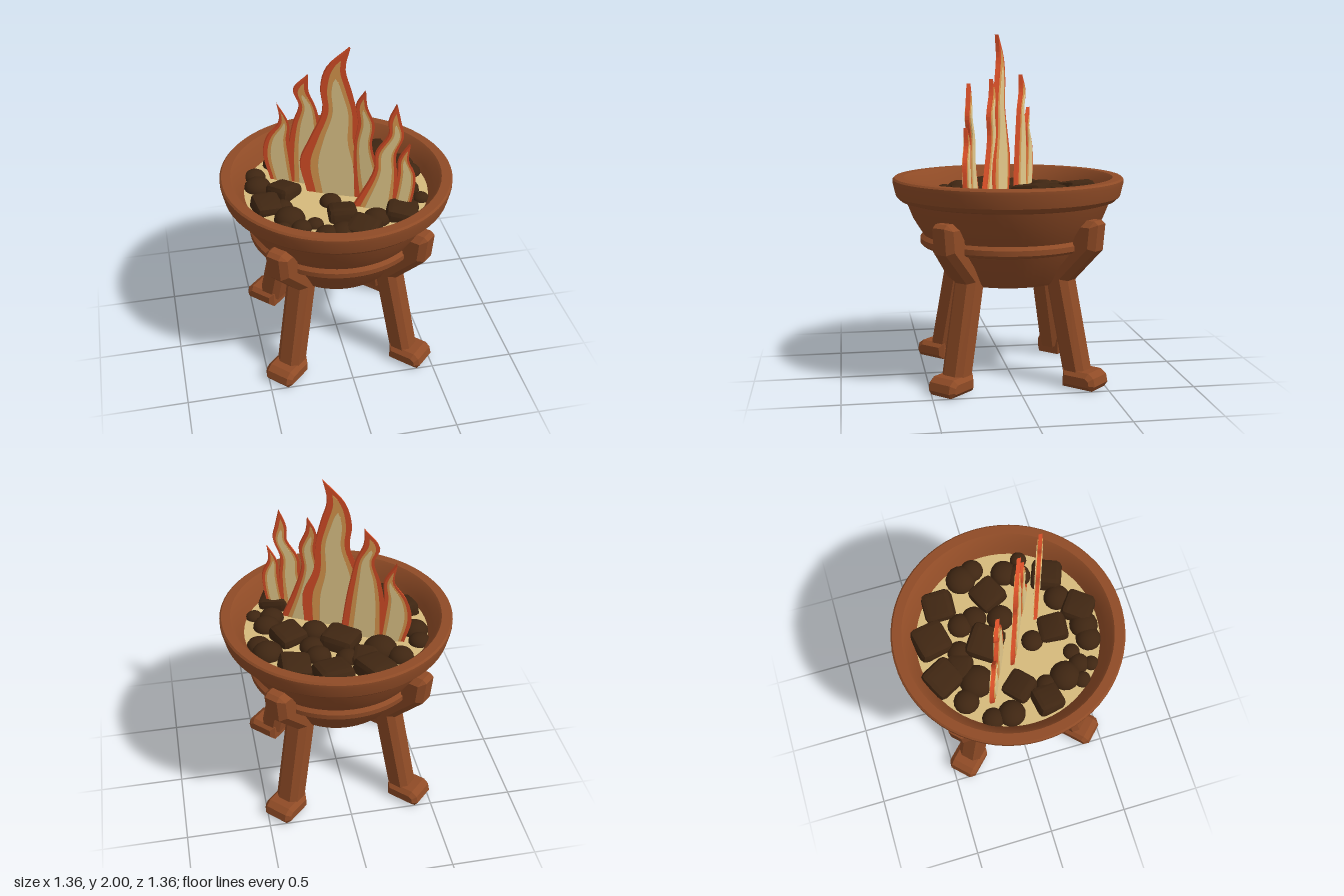
import * as THREE from 'three';
import { toCreasedNormals } from 'three/addons/utils/BufferGeometryUtils.js';
import { RoundedBoxGeometry } from 'three/addons/geometries/RoundedBoxGeometry.js';

const mat = (name, color) => Object.assign(new THREE.MeshStandardMaterial({ color }), { name });
const V = (p) => new THREE.Vector2(p[0], p[1]);

export function createModel() {
  const clay = mat('clay', 0x8f4b26);
  const coal = mat('coal', 0x3f2612);
  const sand = mat('sand', 0xd6ba7c);
  const red = mat('flame red', 0xdb5028);
  const orange = mat('flame orange', 0xe09c50);
  const cream = mat('flame cream', 0xe6cb8c);

  const model = new THREE.Group();
  model.name = 'fireBowl';
  const add = (parent, name, geo, material) => {
    const m = new THREE.Mesh(geo, material);
    m.name = name;
    parent.add(m);
    return m;
  };

  // Bowl: underside, belt, flared wall, thick rim and inner wall
  const profile = [
    [0, 0.58], [0.35, 0.58], [0.37, 0.6], [0.465, 0.77], [0.505, 0.78], [0.52, 0.795],
    [0.52, 0.825], [0.5, 0.845], [0.56, 0.94], [0.6, 1.04], [0.635, 1.05], [0.66, 1.075],
    [0.678, 1.15], [0.678, 1.17], [0.668, 1.18], [0.615, 1.18], [0.6, 1.165], [0.56, 1.1], [0.53, 1.03],
  ].map(V);
  add(model, 'bowl', toCreasedNormals(new THREE.LatheGeometry(profile, 64), 0.5), clay);

  // Sand bed
  const bed = add(model, 'sandBed', new THREE.CircleGeometry(0.55, 64), sand);
  bed.rotation.x = -Math.PI / 2;
  bed.position.y = 1.055;

  // Legs: a side profile with chamfered edges, one on each diagonal
  const slab = (points, width, bevel) => {
    const geo = new THREE.ExtrudeGeometry(new THREE.Shape(points.map(V)), {
      depth: width - 2 * bevel, bevelEnabled: true, bevelThickness: bevel,
      bevelSize: bevel, bevelOffset: -bevel, bevelSegments: 1,
    });
    return geo.translate(0, 0, bevel - width / 2);
  };
  const legGeo = slab([
    [0.43, 0.04], [0.575, 0.04], [0.45, 0.61], [0.63, 0.8], [0.645, 0.95],
    [0.62, 0.97], [0.5, 0.97], [0.46, 0.8], [0.3, 0.62],
  ], 0.15, 0.035);
  const footGeo = slab([
    [0.44, 0], [0.635, 0], [0.655, 0.03], [0.645, 0.075], [0.61, 0.1], [0.44, 0.1],
  ], 0.19, 0.025);
  for (let i = 0; i < 4; i++) {
    const leg = new THREE.Group();
    leg.name = 'leg';
    add(leg, 'legPost', legGeo, clay);
    add(leg, 'foot', footGeo, clay);
    leg.rotation.y = Math.PI / 4 + i * Math.PI / 2;
    model.add(leg);
  }

  // Coals: [x, z, radius], kept inside the bowl wall
  const coals = new THREE.Group();
  coals.name = 'coals';
  model.add(coals);
  const place = (m, x, z, r) => {
    const d = Math.hypot(x, z), k = Math.min(1, (0.56 - 0.85 * r) / d);
    m.position.set(x * k, 1.055, z * k);
  };
  const pebbles = [
    [-0.31, -0.34, 0.075], [-0.21, -0.25, 0.1], [-0.01, -0.3, 0.07], [0.15, -0.25, 0.075],
    [0.17, -0.16, 0.075], [0.43, -0.17, 0.09], [0.47, -0.09, 0.07], [0.13, -0.01, 0.08],
    [0.4, 0.09, 0.08], [0.36, 0.17, 0.075], [-0.06, 0.13, 0.065], [-0.32, 0.25, 0.09],
    [-0.34, 0.13, 0.06], [-0.37, 0.34, 0.05], [-0.27, 0.35, 0.06], [-0.19, 0.33, 0.05],
    [-0.29, 0.42, 0.045], [-0.14, 0.45, 0.075], [-0.05, 0.45, 0.085], [0.16, 0.35, 0.08],
    [-0.45, -0.22, 0.065], [-0.45, -0.11, 0.08], [0.46, 0.2, 0.05],
  ];
  const ball = new THREE.SphereGeometry(1, 16, 10);
  for (const [x, z, r] of pebbles) {
    const m = add(coals, 'roundCoal', ball, coal);
    m.scale.set(r, r * 0.75, r);
    place(m, x, z, r);
  }
  const chunks = [
    [-0.15, -0.47, 0.12], [0.1, -0.45, 0.125], [0.3, -0.34, 0.11], [-0.11, -0.32, 0.09],
    [0, -0.14, 0.125], [-0.31, -0.02, 0.1], [0.29, -0.04, 0.11], [-0.43, 0.11, 0.1],
    [-0.02, 0.27, 0.1], [0.31, 0.33, 0.11], [0.06, 0.45, 0.11],
  ];
  const block = toCreasedNormals(new RoundedBoxGeometry(1.65, 1.2, 1.65, 1, 0.3), 0.4);
  chunks.forEach(([x, z, r], i) => {
    const m = add(coals, 'chunkyCoal', block, coal);
    m.scale.setScalar(r);
    m.rotation.set(0.18 * Math.sin(i * 2.1), 0.5 + i * 1.3, 0.18 * Math.cos(i * 1.7));
    place(m, x, z, r);
  });

  // Flame tongues: centre line [x, y, half width], standing on a slanted sheet z = z0 + slope * x
  const tongues = [
    [-0.035, 0.45, [[-0.29, 1.05, 0.07], [-0.315, 1.22, 0.08], [-0.31, 1.34, 0.06], [-0.275, 1.45, 0.026], [-0.31, 1.57, 0]]],
    [-0.035, 0.45, [[-0.14, 1.05, 0.12], [-0.15, 1.3, 0.1], [-0.15, 1.45, 0.075], [-0.145, 1.57, 0.045], [-0.178, 1.67, 0.04], [-0.14, 1.77, 0]]],
    [0.05, 0.42, [[0, 1.05, 0.17], [-0.015, 1.25, 0.19], [-0.015, 1.42, 0.13], [0.01, 1.6, 0.09], [-0.01, 1.74, 0.08], [-0.01, 1.87, 0.047], [0.06, 2, 0]]],
    [0.05, 0.5, [[0.19, 1.05, 0.1], [0.15, 1.25, 0.07], [0.13, 1.42, 0.045], [0.145, 1.55, 0.042], [0.122, 1.66, 0.027], [0.14, 1.75, 0]]],
    [0.165, 0.36, [[0.18, 1.05, 0.12], [0.23, 1.3, 0.06], [0.23, 1.42, 0.052], [0.28, 1.54, 0.038], [0.272, 1.63, 0.03], [0.28, 1.73, 0]]],
    [0.165, 0.36, [[0.31, 1.05, 0.05], [0.335, 1.2, 0.05], [0.34, 1.3, 0.045], [0.325, 1.39, 0.025], [0.355, 1.49, 0]]],
  ];
  // colour, share of the width, share of the height, thickness
  const layers = [[red, 1, 1, 0.022], [orange, 0.72, 0.9, 0.03], [cream, 0.5, 0.76, 0.038]];
  const steps = 24;
  for (const [z0, slope, line] of tongues) {
    const flame = new THREE.Group();
    flame.name = 'flame';
    model.add(flame);
    const curve = new THREE.CatmullRomCurve3(line.map((p) => new THREE.Vector3(...p)));
    for (const [material, wide, high, thick] of layers) {
      const left = [], right = [];
      for (let i = 0; i <= steps; i++) {
        const t = i / steps;
        const p = curve.getPoint(t * high);
        const taper = high < 1 ? Math.sqrt(1 - t ** 4) : 1;
        const w = Math.max(p.z, 0) * wide * taper;
        right.push(new THREE.Vector2(p.x + w, p.y));
        if (i < steps) left.unshift(new THREE.Vector2(p.x - w, p.y));
      }
      const geo = new THREE.ExtrudeGeometry(new THREE.Shape([...right, ...left]), { depth: thick, bevelEnabled: false });
      const pos = geo.attributes.position;
      for (let i = 0; i < pos.count; i++) {
        pos.setZ(i, pos.getZ(i) - thick / 2 + z0 + slope * pos.getX(i));
      }
      geo.computeVertexNormals();
      add(flame, material.name, geo, material);
    }
  }
  return model;
}
